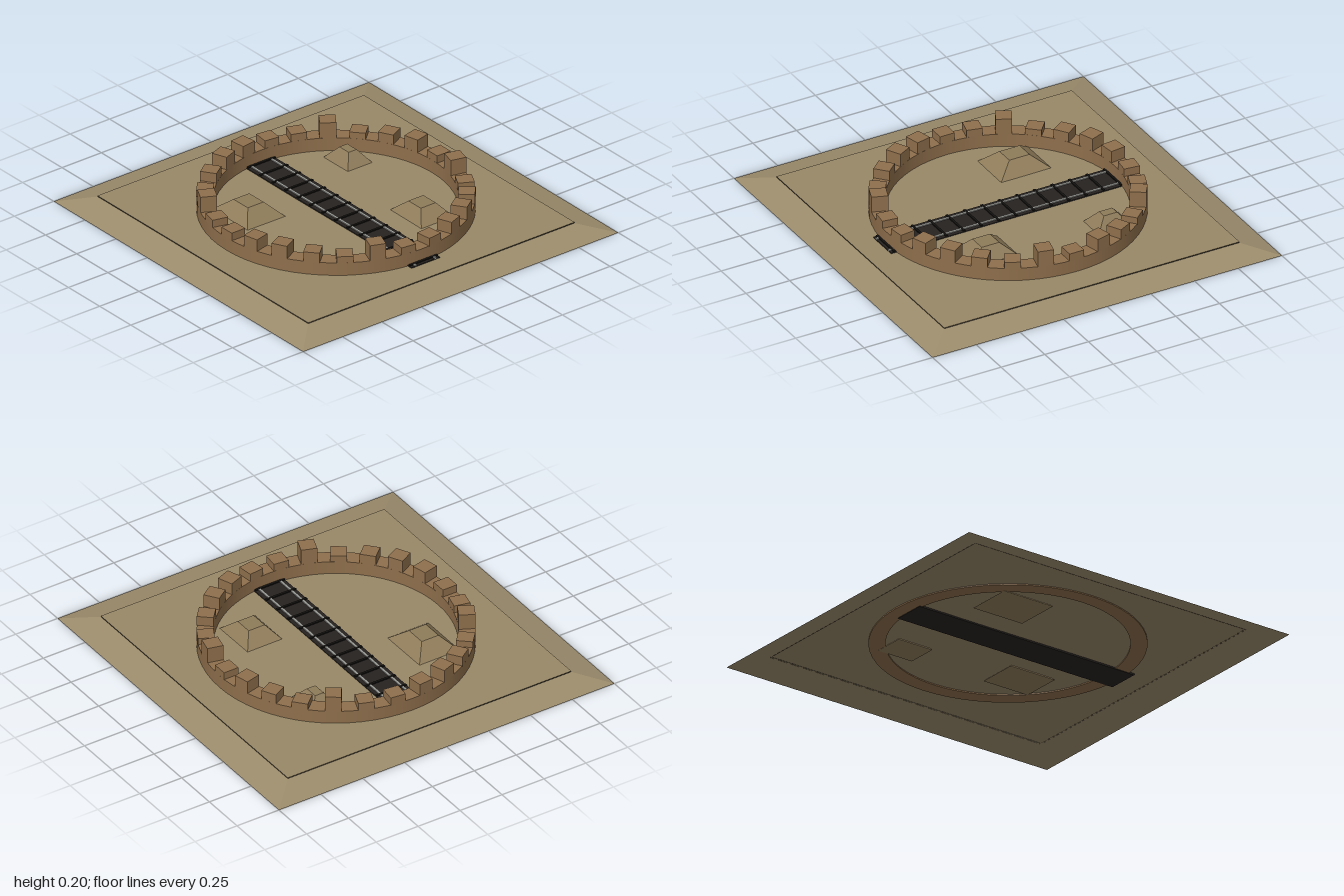
import * as THREE from 'three';

const mat = (color, extra = {}) => new THREE.MeshStandardMaterial({ color, ...extra });

export function createModel() {
  const model = new THREE.Group();
  const sand = mat(0x9c8c6c, { side: THREE.DoubleSide, flatShading: true });
  const softSand = mat(0x988868, { side: THREE.DoubleSide });
  const moundSand = mat(0x8f7c5a, { flatShading: true });
  const brick = mat(0x8f6f4c);
  const dark = mat(0x262220);
  const black = mat(0x141210);
  const steel = mat(0x9a9a96);

  const add = (name, geometry, material, x = 0, y = 0, z = 0, parent = model) => {
    const mesh = new THREE.Mesh(geometry, material);
    mesh.name = name;
    mesh.position.set(x, y, z);
    parent.add(mesh);
    return mesh;
  };

  // Open four-sided band: half-widths at top and bottom
  const squareBand = (top, bottom, height) =>
    new THREE.CylinderGeometry(top * Math.SQRT2, bottom * Math.SQRT2, height, 4, 1, true).rotateY(Math.PI / 4);

  // Sloping skirt and the thin lip of the plateau
  add('groundSkirt', squareBand(0.84, 1, 0.042), sand, 0, 0.021);
  add('plateauLip', squareBand(0.845, 0.845, 0.006), mat(0x4a4032, { side: THREE.DoubleSide }), 0, 0.043);

  // Gently rolling plateau, level at its edge
  const ground = new THREE.PlaneGeometry(1.69, 1.69, 40, 40).rotateX(-Math.PI / 2);
  const p = ground.attributes.position;
  for (let i = 0; i < p.count; i++) {
    const x = p.getX(i), z = p.getZ(i);
    const fade = (1 - (x / 0.845) ** 2) * (1 - (z / 0.845) ** 2);
    p.setY(i, 0.0025 * fade * Math.sin(4 * x + 2 * z) * Math.cos(3 * z - 2 * x));
  }
  ground.computeVertexNormals();
  add('plateau', ground, softSand, 0, 0.046);

  // Ring wall: straight sides and a flat top
  const profile = [[0.61, 0.04], [0.695, 0.04], [0.695, 0.117], [0.61, 0.117], [0.61, 0.04]];
  const wall = new THREE.Group();
  wall.name = 'ringWall';
  model.add(wall);
  for (let i = 0; i < 4; i++) {
    const side = profile.slice(i, i + 2).map(([r, y]) => new THREE.Vector2(r, y));
    add('wallFace', new THREE.LatheGeometry(side, 64), brick, 0, 0, 0, wall);
  }

  // Uneven blocks around the wall top
  const blockTops = [0.158, 0.203, 0.152, 0.17, 0.187, 0.182, 0.16];
  const count = 26;
  for (let i = 0; i < count; i++) {
    const a = (i / count) * Math.PI * 2;
    const h = blockTops[i % 7] - 0.115;
    const block = add('wallBlock', new THREE.BoxGeometry(0.083, h, 0.085), brick,
      Math.cos(a) * 0.652, 0.115 + h / 2, Math.sin(a) * 0.652);
    block.rotation.y = -a + Math.PI / 2;
  }

  // Flat-topped mounds: centre, base size, top size
  const mounds = [
    [-0.363, -0.243, 0.255, 0.305, 0.1, 0.115],
    [0.365, -0.365, 0.17, 0.21, 0.05, 0.075],
    [0.307, 0.302, 0.225, 0.275, 0.095, 0.1],
  ];
  for (const [x, z, w, d, tw, td] of mounds) {
    const g = new THREE.BoxGeometry(w, 0.075, d);
    const v = g.attributes.position;
    for (let i = 0; i < v.count; i++) {
      if (v.getY(i) > 0) {
        v.setX(i, Math.sign(v.getX(i)) * tw / 2);
        v.setZ(i, Math.sign(v.getZ(i)) * td / 2);
      }
    }
    g.computeVertexNormals();
    add('mound', g, moundSand, x, 0.0745, z);
  }

  // Track bed with rails and cross ties
  const track = new THREE.Group();
  track.name = 'track';
  model.add(track);
  add('trackBed', new THREE.BoxGeometry(0.18, 0.014, 1.34), dark, 0, 0.044, 0.05, track);
  for (const x of [-0.063, 0.063]) {
    add('rail', new THREE.BoxGeometry(0.013, 0.008, 1.34), steel, x, 0.052, 0.05, track);
  }
  for (let i = 0; i < 14; i++) {
    add('crossTie', new THREE.BoxGeometry(0.178, 0.017, 0.012), black, 0, 0.0485, 0.7 - i * 0.1, track);
  }
  return model;
}
